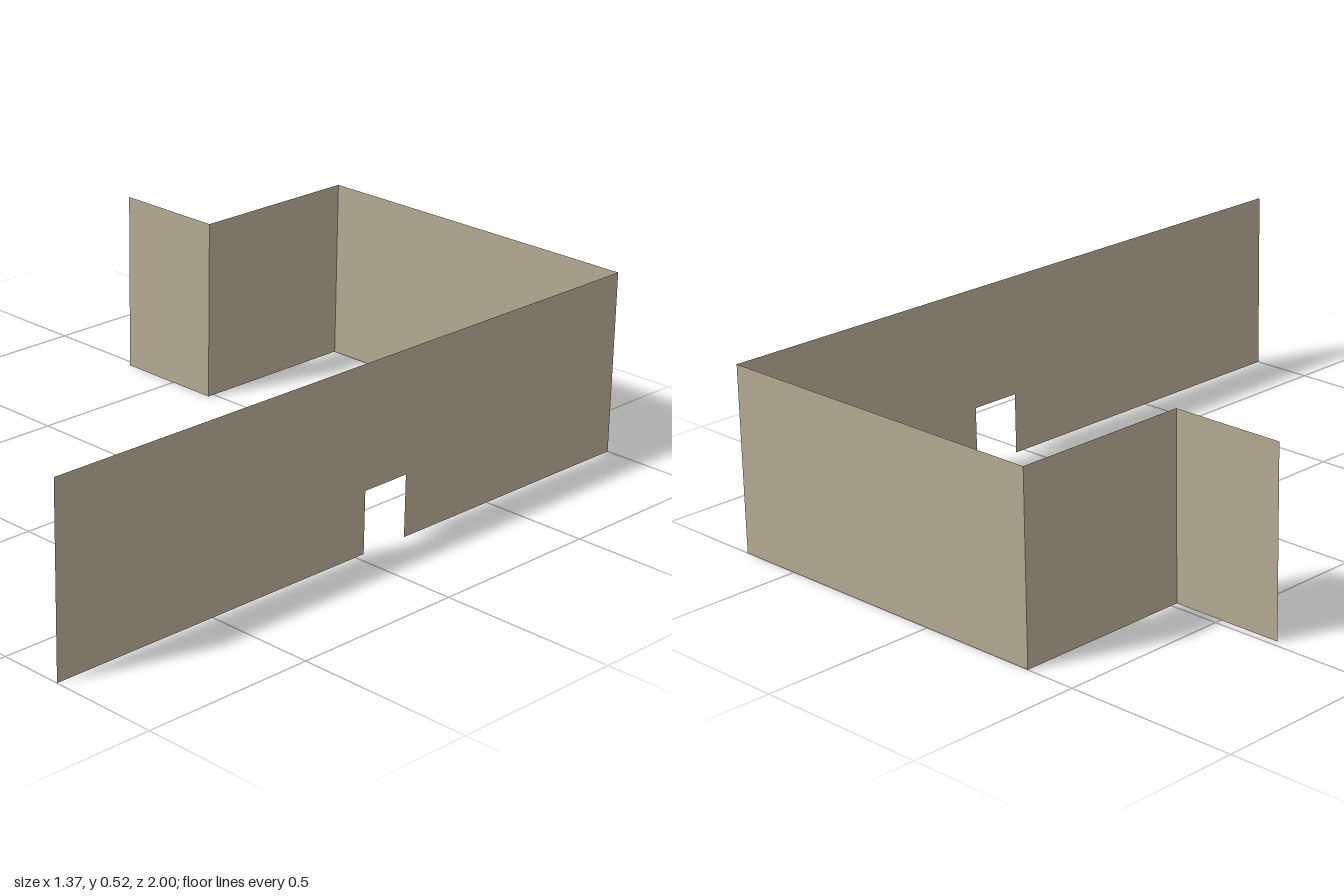
import * as THREE from 'three';

const HEIGHT = 0.52;

export function createModel() {
  const model = new THREE.Group();
  model.name = 'wallRun';
  const plaster = new THREE.MeshStandardMaterial({ color: 0xb3a892, side: THREE.DoubleSide });
  plaster.name = 'taupe plaster';

  // Thin upright panel between two floor points [x, z], with an optional doorway
  function addWall(name, [x0, z0], [x1, z1], door) {
    const length = Math.hypot(x1 - x0, z1 - z0);
    const outline = new THREE.Shape();
    outline.moveTo(0, 0);
    if (door) {
      outline.lineTo(door.from, 0);
      outline.lineTo(door.from, door.height);
      outline.lineTo(door.to, door.height);
      outline.lineTo(door.to, 0);
    }
    outline.lineTo(length, 0);
    outline.lineTo(length, HEIGHT);
    outline.lineTo(0, HEIGHT);
    outline.closePath();

    const wall = new THREE.Mesh(new THREE.ShapeGeometry(outline), plaster);
    wall.name = name;
    wall.position.set(x0, 0, z0);
    wall.rotation.y = Math.atan2(z0 - z1, x1 - x0);
    model.add(wall);
  }

  // Floor corners, running so that each panel's front faces outward
  const corners = [[0.685, 1], [0.685, -1], [-0.352, -1], [-0.352, -0.48], [-0.685, -0.48]];
  const names = ['longDoorWall', 'backWall', 'returnWall', 'endWall'];
  names.forEach((name, i) => {
    const door = i === 0 ? { from: 1.03, to: 1.18, height: 0.175 } : null;
    addWall(name, corners[i], corners[i + 1], door);
  });

  return model;
}
